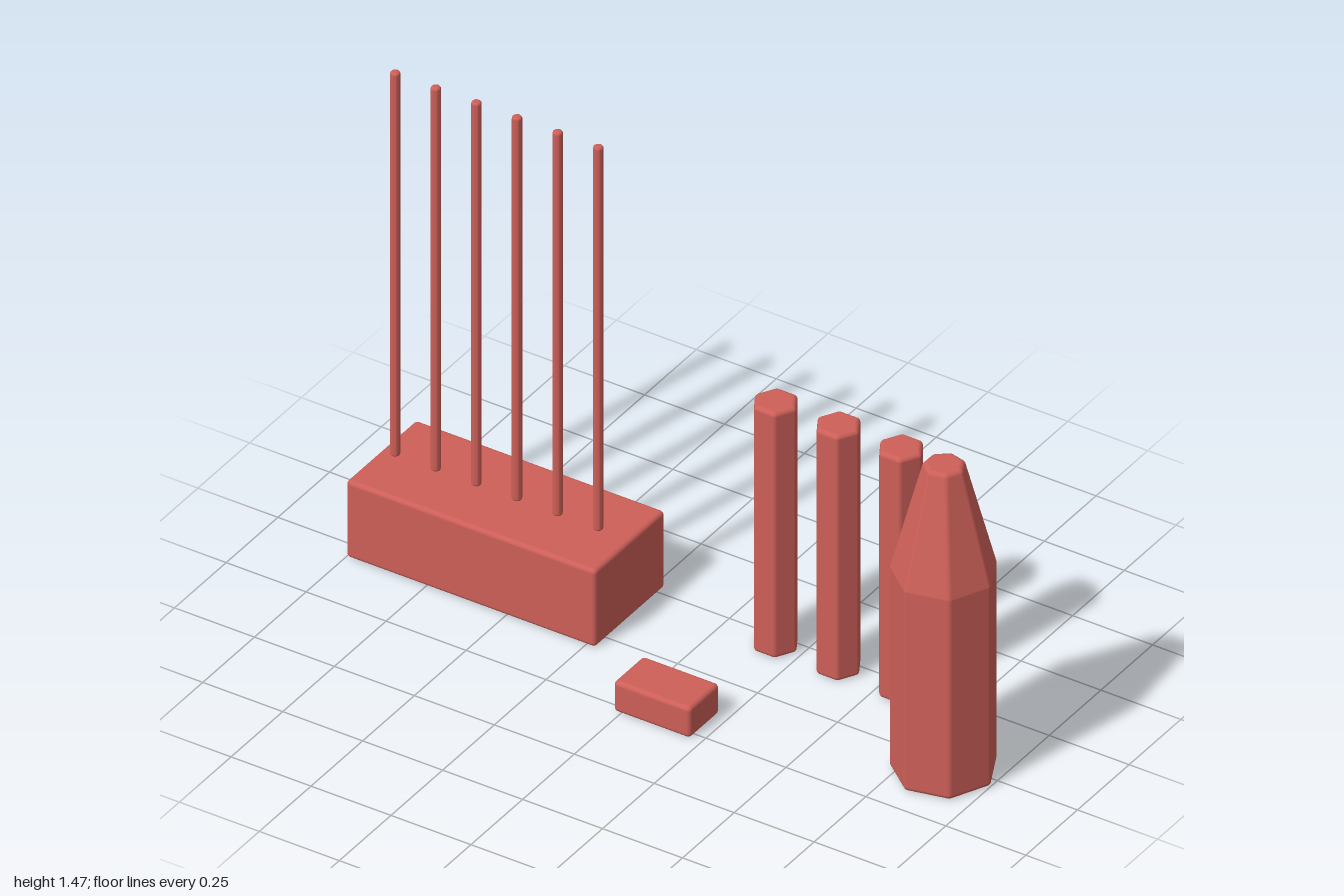
import * as THREE from 'three';
import { RoundedBoxGeometry } from 'three/addons/geometries/RoundedBoxGeometry.js';

const STEPS = 4;
const HALF_PI = Math.PI / 2;

// Upright prism with every edge rounded by radius b.
// Each knot is [y, core corner radius, first normal pitch, last normal pitch].
function roundedPrism(sides, b, knots) {
  const rings = [];
  for (const [y, core, p0, p1] of knots) {
    for (let k = 0; k <= STEPS; k++) rings.push([y, core, p0 + (p1 - p0) * k / STEPS]);
  }
  const first = rings[0], last = rings[rings.length - 1];
  rings.unshift([first[0], 0, -HALF_PI]);
  rings.push([last[0], 0, HALF_PI]);

  const pos = [], nor = [], index = [];
  const count = sides * (STEPS + 1);
  for (const [y, core, pitch] of rings) {
    const c = Math.cos(pitch), s = Math.sin(pitch);
    for (let i = 0; i < sides; i++) {
      const a = i * 2 * Math.PI / sides;
      for (let k = 0; k <= STEPS; k++) {
        const t = a + (2 * k / STEPS - 1) * Math.PI / sides;
        const n = [Math.cos(t) * c, s, Math.sin(t) * c];
        nor.push(...n);
        pos.push(Math.cos(a) * core + n[0] * b, y + n[1] * b, Math.sin(a) * core + n[2] * b);
      }
    }
  }
  for (let j = 0; j < rings.length - 1; j++) {
    for (let i = 0; i < count; i++) {
      const p = j * count + i, q = j * count + (i + 1) % count;
      index.push(p, p + count, q, q, p + count, q + count);
    }
  }
  const geo = new THREE.BufferGeometry();
  geo.setAttribute('position', new THREE.Float32BufferAttribute(pos, 3));
  geo.setAttribute('normal', new THREE.Float32BufferAttribute(nor, 3));
  geo.setIndex(index);
  return geo;
}

// Straight prism from y = 0 to the given height
function straightPrism(sides, core, b, height) {
  return roundedPrism(sides, b, [[b, core, -HALF_PI, 0], [height - b, core, 0, HALF_PI]]);
}

export function createModel() {
  const group = new THREE.Group();
  const material = new THREE.MeshStandardMaterial({ color: 0xcd5f58 });
  const add = (name, geometry, x, y, z) => {
    const mesh = new THREE.Mesh(geometry, material);
    mesh.name = name;
    mesh.position.set(x, y, z);
    group.add(mesh);
  };

  // Large block carrying a row of thin rods
  add('baseBlock', new RoundedBoxGeometry(0.78, 0.245, 0.34, 4, 0.013), -0.61, 0.1225, -0.111);
  const rod = straightPrism(8, 0.006, 0.008, 1.222);
  for (let i = 0; i < 6; i++) add(`rod${i + 1}`, rod, -0.955 + i * 0.127, 0.245, -0.111);

  // Small loose block
  add('smallBlock', new RoundedBoxGeometry(0.24, 0.097, 0.145, 4, 0.013), 0.098, 0.0485, 0.206);

  // Three hexagonal posts
  const post = straightPrism(6, 0.05, 0.013, 0.782);
  for (let i = 0; i < 3; i++) add(`post${i + 1}`, post, 0.171 + i * 0.196, 0, -0.21);

  // Seven-sided tower with a tapered, flat-topped upper part
  const b = 0.016, breakY = 0.635, topY = 0.978 - b, wide = 0.128, narrow = 0.043;
  const slope = Math.atan2(wide - narrow, topY - breakY);
  add('taperedTower', roundedPrism(7, b, [
    [b, wide, -HALF_PI, 0],
    [breakY, wide, 0, slope],
    [topY, narrow, slope, HALF_PI],
  ]), 0.856, 0, 0.035);

  return group;
}
